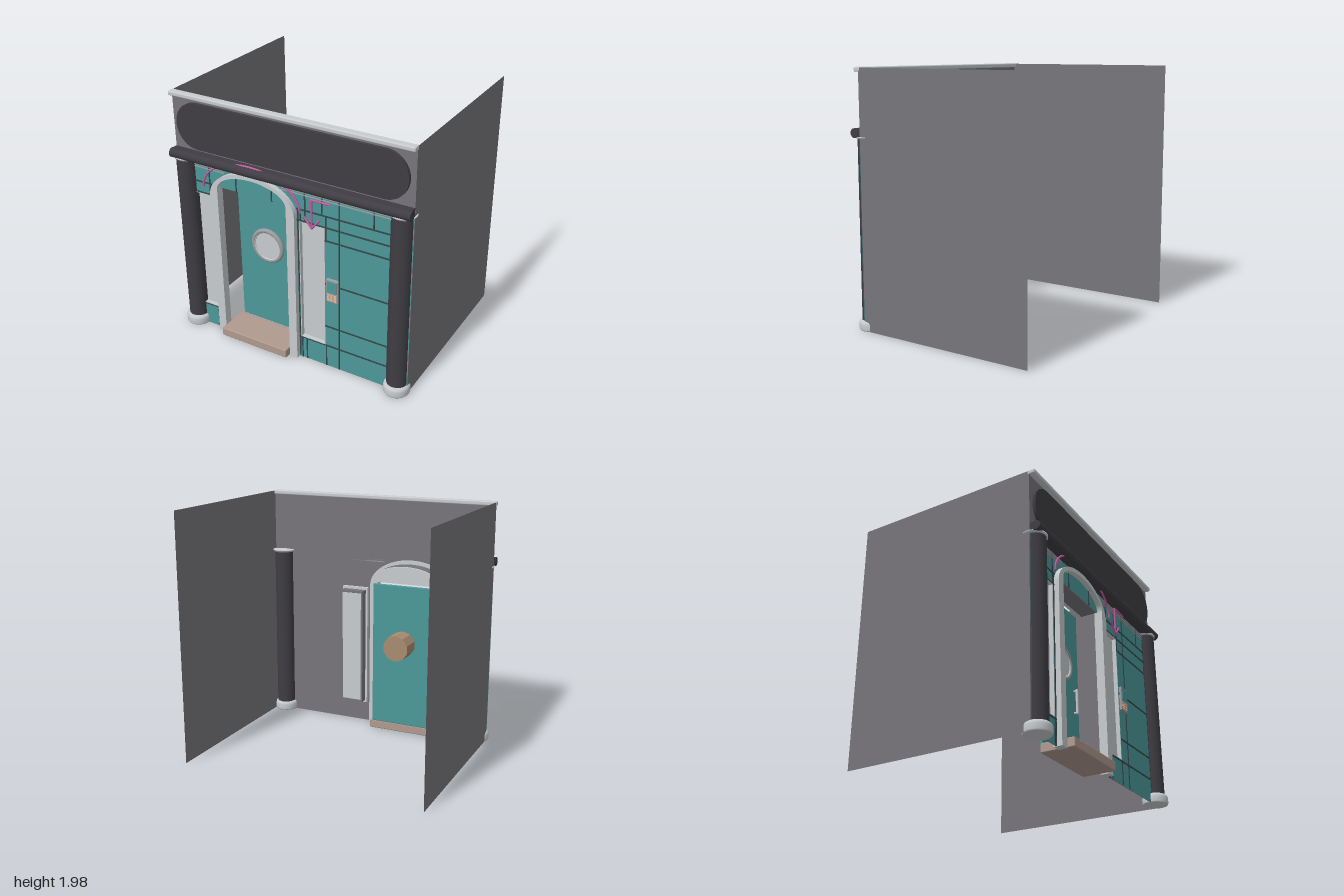
import * as THREE from 'three';
import { RoundedBoxGeometry } from 'three/addons/geometries/RoundedBoxGeometry.js';

const mat = (name, color, double = false) => {
  const m = new THREE.MeshStandardMaterial({ color });
  m.name = name;
  if (double) m.side = THREE.DoubleSide;
  return m;
};

export function createModel() {
  const M = {
    wall: mat('wall grey', 0x77757a, true),
    dark: mat('charcoal', 0x3f3d43),
    teal: mat('teal', 0x4c9899, true),
    light: mat('pale grey', 0xc8cccf, true),
    step: mat('dusty brown', 0xb09a8f),
    wood: mat('tan', 0xa98c70),
    pink: mat('pink', 0xc85aa4),
    grout: mat('grout', 0x35494b),
    button: mat('peach', 0xe0b896),
    metal: mat('mid grey', 0x9b9c9f),
  };
  const group = new THREE.Group();
  group.name = 'shopFront';
  const add = (name, geo, m, x = 0, y = 0, z = 0) => {
    const mesh = new THREE.Mesh(geo, m);
    mesh.name = name;
    mesh.position.set(x, y, z);
    group.add(mesh);
    return mesh;
  };
  // Box given by its limits, optionally with rounded edges
  const block = (name, m, x0, x1, y0, y1, z0, z1, r = 0) => {
    const s = [x1 - x0, y1 - y0, z1 - z0];
    const geo = r ? new RoundedBoxGeometry(...s, 2, r) : new THREE.BoxGeometry(...s);
    return add(name, geo, m, (x0 + x1) / 2, (y0 + y1) / 2, (z0 + z1) / 2);
  };
  const rectPath = (x0, x1, y0, y1) => new THREE.Path([[x0, y0], [x1, y0], [x1, y1], [x0, y1]].map(p => new THREE.Vector2(...p)));
  const extrude = (shape, depth) => new THREE.ExtrudeGeometry(shape, { depth, bevelEnabled: false, curveSegments: 32 });

  const DOOR = -0.297; // centre line of the doorway
  const FACE = 0.69;
  const niches = [[-0.89, -0.69], [0.09, 0.302]];

  // Front wall with doorway and niche openings; tiles sit just in front
  const facade = top => {
    const s = new THREE.Shape([
      [-0.985, 0], [-0.6, 0], [-0.6, 1.28], [0.005, 1.28], [0.005, 0], [0.985, 0], [0.985, top], [-0.985, top],
    ].map(p => new THREE.Vector2(...p)));
    niches.forEach(([a, b]) => s.holes.push(rectPath(a, b, 0.19, 1.19)));
    return new THREE.ShapeGeometry(s);
  };
  add('frontWall', facade(1.965), M.wall, 0, 0, FACE);
  add('tiles', facade(1.455), M.teal, 0, 0, FACE + 0.006);

  // Side walls
  for (const s of [-1, 1]) {
    const wall = add('sideWall', new THREE.PlaneGeometry(1.48, 1.97), M.wall, s * 0.985, 0.985, -0.05);
    wall.rotation.y = s * Math.PI / 2;
  }

  // Grout lines: [x0, x1, y] across and [x, y0, y1] upright
  const zg = FACE + 0.005;
  [
    [0.42, 0.82, 0.73], [0.3, 0.82, 0.36], [0.07, 0.82, 0.185], [0.3, 0.82, 1.09], [0.07, 0.82, 1.195],
    [0.07, 0.82, 1.285], [-0.83, -0.66, 0.185], [-0.83, -0.66, 1.195], [-0.83, -0.66, 1.285],
    [0.3, 0.33, 0.73],
  ].forEach(([a, b, y]) => block('groutLine', M.grout, a, b, y - 0.006, y + 0.006, zg, zg + 0.005));
  [
    [0.42, 0, 1.45], [0.31, 1.08, 1.28], [0.1, 0, 0.185], [0.14, 0, 0.185], [0.31, 0, 0.185], [0.1, 1.19, 1.28],
    [0.14, 1.19, 1.45], [0.69, 1.28, 1.45], [0.82, 0, 1.45], [0.28, 1.28, 1.45], [-0.69, 0, 0.185],
    [-0.69, 1.19, 1.45], [-0.45, 1.28, 1.43], [-0.14, 1.28, 1.43], [-0.675, 0, 1.28], [0.08, 0, 1.28],
  ].forEach(([x, a, b]) => block('groutLine', M.grout, x - 0.005, x + 0.005, a, b, zg, zg + 0.005));

  // Thin mouldings under the beam
  for (const y of [1.405, 1.425, 1.443])
    for (const [a, b] of [[-0.83, -0.55], [-0.05, 0.83]])
      block('moulding', M.metal, a, b, y - 0.004, y + 0.004, FACE, FACE + 0.012);

  // Columns with bases and capitals
  const baseProfile = [[0, 0], [0.095, 0], [0.1, 0.01], [0.1, 0.05], [0.095, 0.067], [0.082, 0.078], [0, 0.078]];
  const lathe = pts => new THREE.LatheGeometry(pts.map(p => new THREE.Vector2(...p)), 32);
  for (const s of [-1, 1]) {
    add('column', new THREE.CylinderGeometry(0.08, 0.08, 1.39, 32), M.dark, s * 0.9, 0.765, FACE - 0.005);
    add('columnBase', lathe(baseProfile), M.light, s * 0.9, 0, FACE);
    add('columnCapital', lathe([[0, 0], [0.08, 0], [0.095, 0.012], [0.095, 0.02], [0, 0.025]]), M.light, s * 0.9, 1.447, FACE - 0.01);
  }

  // Beam: flat body with a round nose
  block('beam', M.dark, -0.985, 0.985, 1.46, 1.53, FACE + 0.002, 0.745);
  const nose = add('beamNose', new THREE.CylinderGeometry(0.036, 0.036, 1.98, 24), M.dark, 0, 1.494, 0.742);
  nose.rotation.z = Math.PI / 2;

  // Cornice and blank sign board
  block('cornice', M.light, -0.988, 0.988, 1.94, 1.975, 0.675, 0.735, 0.01);
  const board = new THREE.Shape();
  board.moveTo(-0.765, -0.18);
  board.lineTo(0.765, -0.18);
  board.absarc(0.765, 0, 0.18, -Math.PI / 2, Math.PI / 2, false);
  board.lineTo(-0.765, 0.18);
  board.absarc(-0.765, 0, 0.18, Math.PI / 2, Math.PI * 1.5, false);
  add('signBoard', extrude(board, 0.024), M.dark, 0, 1.73, FACE + 0.001);

  // Niche panels: pale front frame and a box projecting behind
  for (const [a, b] of niches) {
    block('nichePanel', M.light, a - 0.008, b + 0.008, 0.18, 1.2, 0.64, 0.668);
    block('nicheBox', M.wall, a + 0.008, b - 0.008, 0.2, 1.18, 0.577, 0.64);
    block('nicheBack', M.light, a + 0.022, b - 0.022, 0.22, 1.16, 0.57, 0.577);
    for (const x of [a, b - 0.006]) block('nicheReveal', M.light, x, x + 0.006, 0.19, 1.19, 0.665, 0.7);
    for (const y of [0.19, 1.184]) block('nicheReveal', M.light, a, b, y, y + 0.006, 0.665, 0.7);
  }

  // Arched door surround
  const arch = new THREE.Shape();
  arch.moveTo(0.368, 0);
  arch.lineTo(0.368, 1.22);
  arch.absellipse(0, 1.22, 0.368, 0.235, 0, Math.PI, false);
  arch.lineTo(-0.368, 0);
  arch.lineTo(-0.3, 0);
  arch.lineTo(-0.3, 1.28);
  arch.absellipse(0, 1.28, 0.3, 0.14, Math.PI, 0, true);
  arch.lineTo(0.3, 0);
  add('doorArch', extrude(arch, 0.065), M.light, DOOR, 0, 0.67);

  // Half-round hood behind the wall above the door
  const lunette = new THREE.Shape();
  lunette.moveTo(0.3, 0);
  lunette.absellipse(0, 0, 0.3, 0.14, 0, Math.PI, false);
  add('lunette', extrude(lunette, 0.025), M.light, DOOR, 1.285, 0.533);
  add('hood', extrude(lunette, 0.125), M.wall, DOOR, 1.285, 0.56);

  // Door, porthole, handle and step
  block('door', M.teal, -0.567, -0.028, 0.08, 1.275, 0.508, 0.53, 0.008);
  add('portholeRing', new THREE.TorusGeometry(0.127, 0.018, 12, 48), M.metal, DOOR, 0.79, 0.542);
  const glass = add('portholeGlass', new THREE.CylinderGeometry(0.125, 0.125, 0.016, 48), M.light, DOOR, 0.79, 0.538);
  glass.rotation.x = Math.PI / 2;
  const lip = add('portholeLip', new THREE.TorusGeometry(0.121, 0.012, 10, 48), M.light, DOOR, 0.79, 0.549);
  lip.scale.z = 0.6;
  const plugGeo = new THREE.CylinderGeometry(0.108, 0.108, 0.168, 10).toNonIndexed();
  plugGeo.computeVertexNormals();
  const plug = add('portholePlug', plugGeo, M.wood, DOOR, 0.79, 0.426);
  plug.rotation.x = Math.PI / 2;
  add('doorHandle', new THREE.CapsuleGeometry(0.01, 0.18, 4, 12), M.light, -0.1, 0.545, 0.555);
  for (const y of [0.46, 0.63]) block('handleMount', M.light, -0.106, -0.094, y - 0.006, y + 0.006, 0.528, 0.555);
  block('doorStep', M.step, -0.597, 0.002, 0.005, 0.075, 0.53, 0.79, 0.008);

  // Intercom
  block('intercom', M.metal, 0.32, 0.418, 0.595, 0.787, FACE, 0.716, 0.006);
  block('intercomScreen', M.teal, 0.331, 0.407, 0.678, 0.772, 0.712, 0.719);
  for (let i = 0; i < 3; i++)
    for (let j = 0; j < 3; j++) {
      const x = 0.332 + i * 0.026, y = 0.608 + j * 0.021;
      block('intercomButton', M.button, x, x + 0.021, y, y + 0.015, 0.712, 0.721);
    }

  // Neon ring over the door and neon arrow
  const zn = 0.738;
  const ring = [];
  for (let i = 0; i <= 32; i++) {
    const t = Math.PI * i / 32;
    ring.push(new THREE.Vector3(DOOR + 0.42 * Math.cos(t), 1.28 + 0.252 * Math.sin(t), zn));
  }
  add('neonArc', new THREE.TubeGeometry(new THREE.CatmullRomCurve3(ring), 64, 0.008, 8), M.pink);
  const rod = (x0, y0, x1, y1) => {
    const path = new THREE.LineCurve3(new THREE.Vector3(x0, y0, zn), new THREE.Vector3(x1, y1, zn));
    add('neonArrow', new THREE.TubeGeometry(path, 1, 0.008, 8), M.pink);
    add('neonArrowEnd', new THREE.SphereGeometry(0.008, 8, 6), M.pink, x1, y1, zn);
  };
  rod(0.37, 1.408, 0.22, 1.408);
  rod(0.22, 1.408, 0.22, 1.185);
  rod(0.155, 1.262, 0.22, 1.185);
  rod(0.288, 1.266, 0.22, 1.185);

  return group;
}
